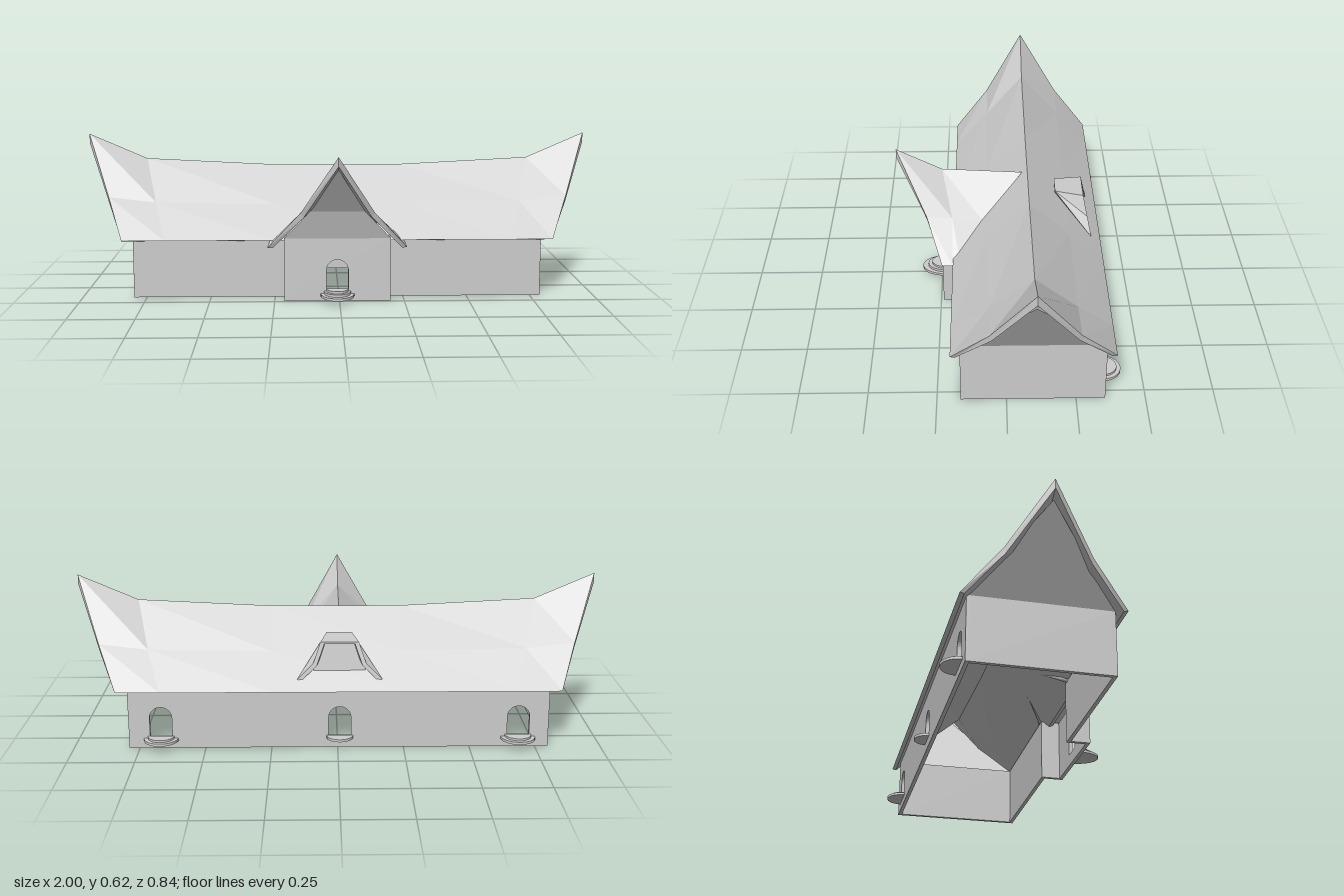
import * as THREE from 'three';

const stone = new THREE.MeshStandardMaterial({ color: 0xcccccc, side: THREE.DoubleSide });
stone.name = 'paleGrey';

// Flat-shaded mesh from a list of polygons (each an array of [x, y, z] corners)
function polygons(name, faces) {
  const pos = [];
  for (const f of faces)
    for (let i = 1; i < f.length - 1; i++) pos.push(...f[0], ...f[i], ...f[i + 1]);
  const g = new THREE.BufferGeometry();
  g.setAttribute('position', new THREE.Float32BufferAttribute(pos, 3));
  g.computeVertexNormals();
  return named(name, g);
}

function named(name, geometry) {
  const mesh = new THREE.Mesh(geometry, stone);
  mesh.name = name;
  return mesh;
}

// Thick sheet between an outer and an inner grid of points
function slab(name, outer, inner) {
  const faces = [];
  const R = outer.length - 1, C = outer[0].length - 1;
  for (const g of [outer, inner])
    for (let i = 0; i < R; i++)
      for (let j = 0; j < C; j++) {
        faces.push([g[i][j], g[i + 1][j], g[i + 1][j + 1]]);
        faces.push([g[i][j], g[i + 1][j + 1], g[i][j + 1]]);
      }
  for (const i of [0, R])
    for (let j = 0; j < C; j++)
      faces.push([outer[i][j], outer[i][j + 1], inner[i][j + 1], inner[i][j]]);
  for (const j of [0, C])
    for (let i = 0; i < R; i++)
      faces.push([outer[i][j], outer[i + 1][j], inner[i + 1][j], inner[i][j]]);
  return polygons(name, faces);
}

function box(name, x0, x1, y0, y1, z0, z1) {
  const m = named(name, new THREE.BoxGeometry(x1 - x0, y1 - y0, z1 - z0));
  m.position.set((x0 + x1) / 2, (y0 + y1) / 2, (z0 + z1) / 2);
  return m;
}

const WALL = 0.015, WALL_TOP = 0.245;

// Wall pierced by round-headed openings
function archedWall(name, x0, x1, z, openings) {
  const s = new THREE.Shape();
  s.moveTo(x0, 0).lineTo(x1, 0).lineTo(x1, WALL_TOP).lineTo(x0, WALL_TOP).closePath();
  for (const x of openings) {
    const h = new THREE.Path();
    h.moveTo(x - 0.042, 0.045);
    h.lineTo(x + 0.042, 0.045);
    h.lineTo(x + 0.042, 0.12);
    h.absarc(x, 0.12, 0.042, 0, Math.PI, false);
    h.closePath();
    s.holes.push(h);
  }
  const m = named(name, new THREE.ExtrudeGeometry(s, { depth: WALL, bevelEnabled: false, curveSegments: 8 }));
  m.position.z = z;
  return m;
}

// Half-round steps: tiers are [half width, reach, bottom y]
function steps(name, x, z, facing, tiers) {
  const g = new THREE.Group();
  g.name = name;
  for (const [w, reach, y] of tiers) {
    const m = named('step', new THREE.CylinderGeometry(1, 1, 0.01, 14, 1, false, -Math.PI / 2, Math.PI));
    m.scale.set(w, 1, reach);
    m.position.y = y + 0.005;
    g.add(m);
  }
  g.position.set(x, 0, z);
  if (facing < 0) g.rotation.y = Math.PI;
  return g;
}

export function createModel() {
  const model = new THREE.Group();
  model.name = 'longHouse';
  const CX = -0.005, PX = -0.008, RIDGE = -0.095;
  const doors = [-0.685, PX, 0.668];

  // Long hall walls, open beneath and towards the porch
  model.add(archedWall('backWall', CX - 0.795, CX + 0.795, -0.355, doors));
  model.add(box('frontWallRight', CX - 0.795, PX - 0.205, 0, WALL_TOP, 0.165 - WALL, 0.165));
  model.add(box('frontWallLeft', PX + 0.205, CX + 0.795, 0, WALL_TOP, 0.165 - WALL, 0.165));
  for (const s of [-1, 1]) {
    const a = CX + s * 0.795, b = a - s * WALL;
    model.add(box('endWall', Math.min(a, b), Math.max(a, b), 0, WALL_TOP, -0.355, 0.165));
    // Outward-leaning gable
    model.add(polygons('endGable', [[[a, WALL_TOP, -0.355], [a, WALL_TOP, 0.165], [s * 0.975, 0.547, RIDGE]]]));
  }

  // Sagging main roof with upswept ends: [ridge x, ridge y, mid x, mid y, eave x]
  const bays = [
    [1, 0.615, 0.905, 0.38, 0.835], [0.77, 0.515, 0.72, 0.358, 0.67], [0.25, 0.488, 0.25, 0.35, 0.25],
  ];
  const stations = [
    ...bays.map(([a, b, c, d, e]) => [-a, b, -c, d, -e]), ...bays.slice().reverse(),
  ];
  const roofRow = (drop, midIn, eaveIn) => stations.map(([rx, ry, mx, my, ex]) => [
    [ex + CX, 0.23 - drop * 0.1, RIDGE - 0.29 + eaveIn],
    [mx, my - drop * 0.6, RIDGE - 0.156 + midIn],
    [rx, ry - drop, RIDGE],
    [mx, my - drop * 0.6, RIDGE + 0.156 - midIn],
    [ex + CX, 0.23 - drop * 0.1, RIDGE + 0.293 - eaveIn],
  ]);
  model.add(slab('mainRoof', roofRow(0, 0, 0), roofRow(0.037, 0.006, 0.016)));

  // Porch walls
  model.add(archedWall('porchFront', PX - 0.205, PX + 0.205, 0.24 - WALL, [PX]));
  for (const s of [-1, 1]) {
    const a = PX + s * 0.205, b = a - s * WALL;
    model.add(box('porchSide', Math.min(a, b), Math.max(a, b), 0, WALL_TOP, 0.15, 0.24 - WALL));
  }

  // Porch gable leaning forward in two folds
  const low = [[PX - 0.205, WALL_TOP, 0.24], [PX + 0.205, WALL_TOP, 0.24]];
  const mid = [[PX - 0.105, 0.355, 0.275], [PX + 0.105, 0.355, 0.275]];
  model.add(polygons('porchGable', [
    [low[0], low[1], mid[1], mid[0]],
    [mid[0], mid[1], [PX, 0.53, 0.385]],
  ]));

  // Porch roof sections, front to back: [ridge], [mid], [eave]
  const porch = [
    [[0, 0.58, 0.418], [0.14, 0.355, 0.3], [0.268, 0.21, 0.24]],
    [[0, 0.49, 0.24], [0.135, 0.345, 0.2], [0.268, 0.21, 0.2]],
    [[0, 0.472, -0.075], [0.13, 0.325, 0.08], [0.262, 0.222, 0.17]],
  ];
  const porchRow = (drop, inset) => porch.map(([r, m, e]) => [
    [PX - e[0] + inset, e[1] - drop * 0.05, e[2]],
    [PX - m[0] + inset * 0.6, m[1] - drop * 0.5, m[2]],
    [PX, r[1] - drop, r[2]],
    [PX + m[0] - inset * 0.6, m[1] - drop * 0.5, m[2]],
    [PX + e[0] - inset, e[1] - drop * 0.05, e[2]],
  ]);
  model.add(slab('porchRoof', porchRow(0, 0), porchRow(0.035, 0.02)));

  // Flared dormer on the back slope
  const half = [[0.16, 0.268, -0.345], [0.1, 0.325, -0.332], [0.072, 0.405, -0.315]];
  const lip = (d) => [
    ...half.map(([x, y, z]) => [PX - x + d, y - d * 0.6, z]),
    ...half.slice().reverse().map(([x, y, z]) => [PX + x - d, y - d * 0.6, z]),
  ];
  const root = (d) => [-1, -1, -1, 1, 1, 1].map((s) => [PX + s * (0.048 - d), 0.412 - d, -0.205]);
  model.add(slab('dormerRoof', [lip(0), root(0)], [lip(0.014), root(0.014)]));
  model.add(polygons('dormerFace', [[
    [PX - 0.1, 0.29, -0.315], [PX + 0.1, 0.29, -0.315], [PX + 0.06, 0.395, -0.3], [PX - 0.06, 0.395, -0.3],
  ]]));

  // Doorsteps
  model.add(steps('frontSteps', PX, 0.24, 1, [[0.065, 0.09, 0.019], [0.052, 0.068, 0.029], [0.042, 0.052, 0.038]]));
  const backTiers = [[0.065, 0.065, 0.03], [0.05, 0.05, 0.038]];
  doors.forEach((x, i) => model.add(steps('backSteps', x, -0.355, -1, i === 1 ? [backTiers[1]] : backTiers)));

  return model;
}
